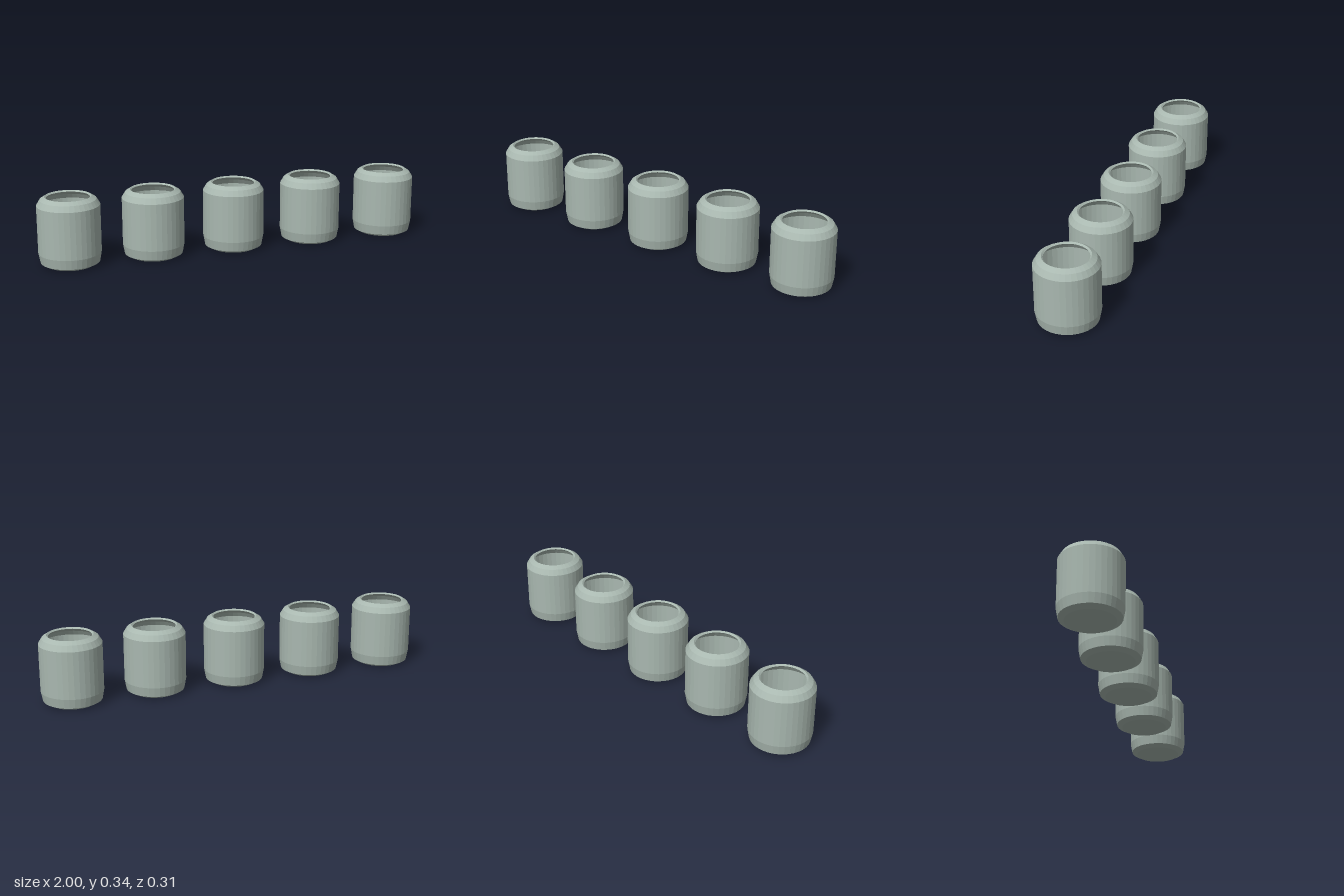
import * as THREE from 'three';

export function createModel() {
  const group = new THREE.Group();
  const glaze = new THREE.MeshStandardMaterial({ color: 0xa9b8b0 });
  glaze.name = 'greyGreenGlaze';

  // Turned profile: base, outer wall, shoulder, rim, then back down the inside
  const profile = [
    [0, 0], [0.117, 0], [0.145, 0.015], [0.154, 0.063], [0.154, 0.3],
    [0.137, 0.328], [0.113, 0.343],
    [0.105, 0.336], [0.13, 0.318], [0.145, 0.295], [0.145, 0.066],
    [0.137, 0.024], [0.113, 0.012], [0, 0.012],
  ].map(([r, y]) => new THREE.Vector2(r, y));

  // Separate faces give each facet its own flat normal
  const jarGeometry = new THREE.LatheGeometry(profile, 36).toNonIndexed();
  jarGeometry.computeVertexNormals();

  // Row of five identical open jars
  for (let i = 0; i < 5; i++) {
    const jar = new THREE.Mesh(jarGeometry, glaze);
    jar.name = `jar${i + 1}`;
    jar.position.x = (i - 2) * 0.423;
    group.add(jar);
  }
  return group;
}
